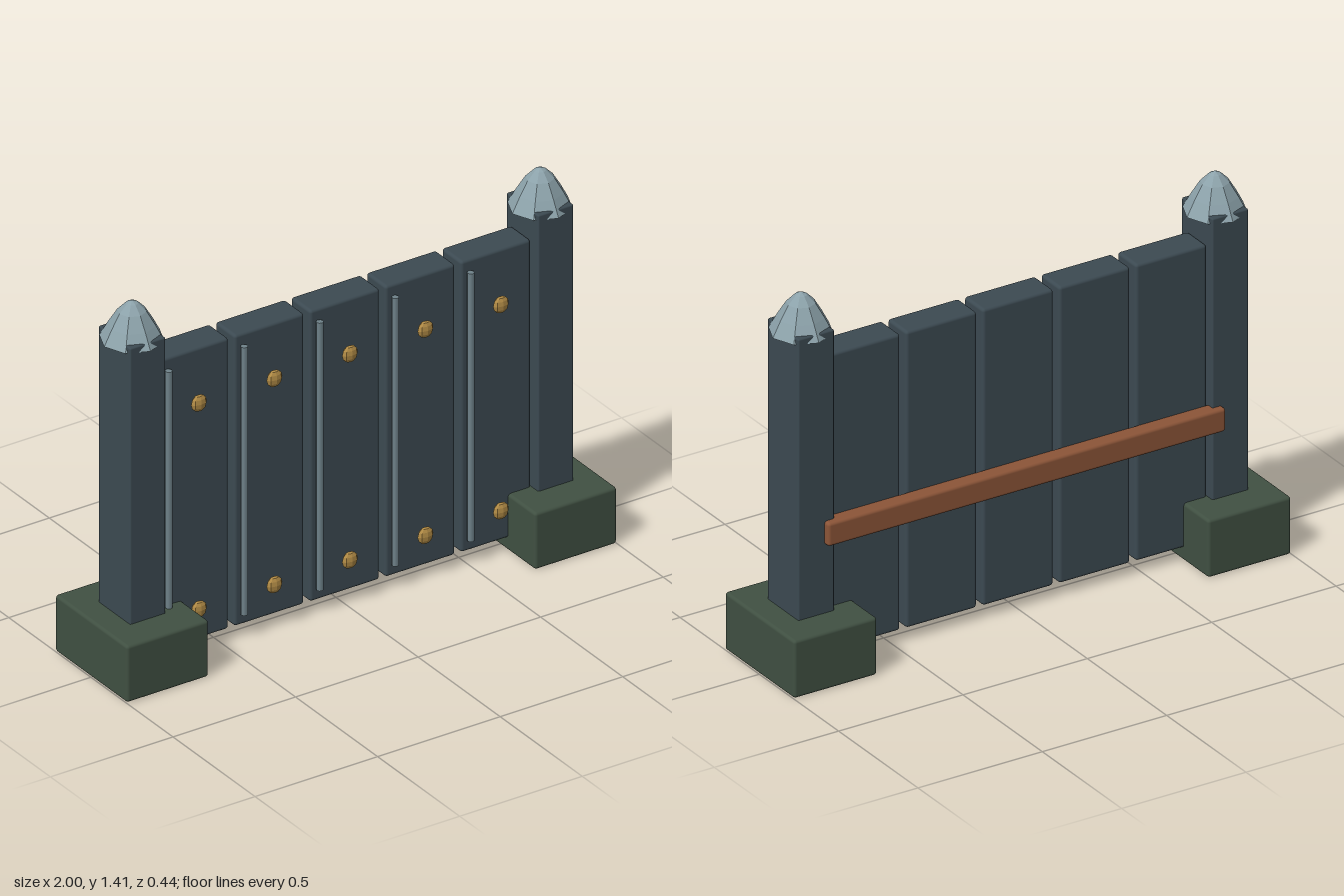
import * as THREE from 'three';
import { RoundedBoxGeometry } from 'three/addons/geometries/RoundedBoxGeometry.js';

const paint = (color, flatShading = false) => new THREE.MeshStandardMaterial({ color, flatShading });

export function createModel() {
  const model = new THREE.Group();
  const slate = paint(0x3c4a52);
  const stone = paint(0x405042);
  const steel = paint(0x8ca2aa, true);
  const rodSteel = paint(0x6f828a);
  const copper = paint(0x8c5538);
  const brass = paint(0xb08a45, true);

  const add = (name, geometry, material, x, y, z) => {
    const mesh = new THREE.Mesh(geometry, material);
    mesh.name = name;
    mesh.position.set(x, y, z);
    model.add(mesh);
    return mesh;
  };
  // Rounded box placed by its bottom height
  const box = (name, w, h, d, r, material, x, bottom, z) =>
    add(name, new RoundedBoxGeometry(w, h, d, 2, r), material, x, bottom + h / 2, z);

  // Faceted pointed cap, closed underneath
  const capProfile = [[0, 0], [0.113, 0], [0.083, 0.056], [0.051, 0.108], [0.022, 0.137], [0, 0.148]]
    .map(([r, y]) => new THREE.Vector2(r, y));
  const capGeometry = new THREE.LatheGeometry(capProfile, 8);

  // End posts on footings
  for (const [side, s] of [['left', 1], ['right', -1]]) {
    box(side + 'Footing', 0.335, 0.22, 0.44, 0.012, stone, s * 0.8325, 0, 0);
    box(side + 'Post', 0.145, 1.09, 0.195, 0.006, slate, s * 0.8325, 0.2, 0);
    add(side + 'PostCap', capGeometry, steel, s * 0.8325, 1.265, 0);
  }

  // Planks, each with an edge rod and two bolts
  const rodGeometry = new THREE.CylinderGeometry(0.013, 0.013, 1.04, 8);
  const boltGeometry = new THREE.SphereGeometry(0.032, 8, 6);
  for (let i = 0; i < 5; i++) {
    const x = (i - 2) * 0.308;
    box('plank', 0.285, 1.13, 0.12, 0.012, slate, x, 0.05, -0.005);
    add('plankRod', rodGeometry, rodSteel, x - 0.113, 0.618, 0.07);
    for (const y of [0.185, 0.985]) {
      add('plankBolt', boltGeometry, brass, x, y, 0.085).scale.z = 0.5;
    }
  }

  // Cross rail at the back
  box('backRail', 1.6, 0.09, 0.06, 0.012, copper, 0, 0.48, -0.092);

  return model;
}
